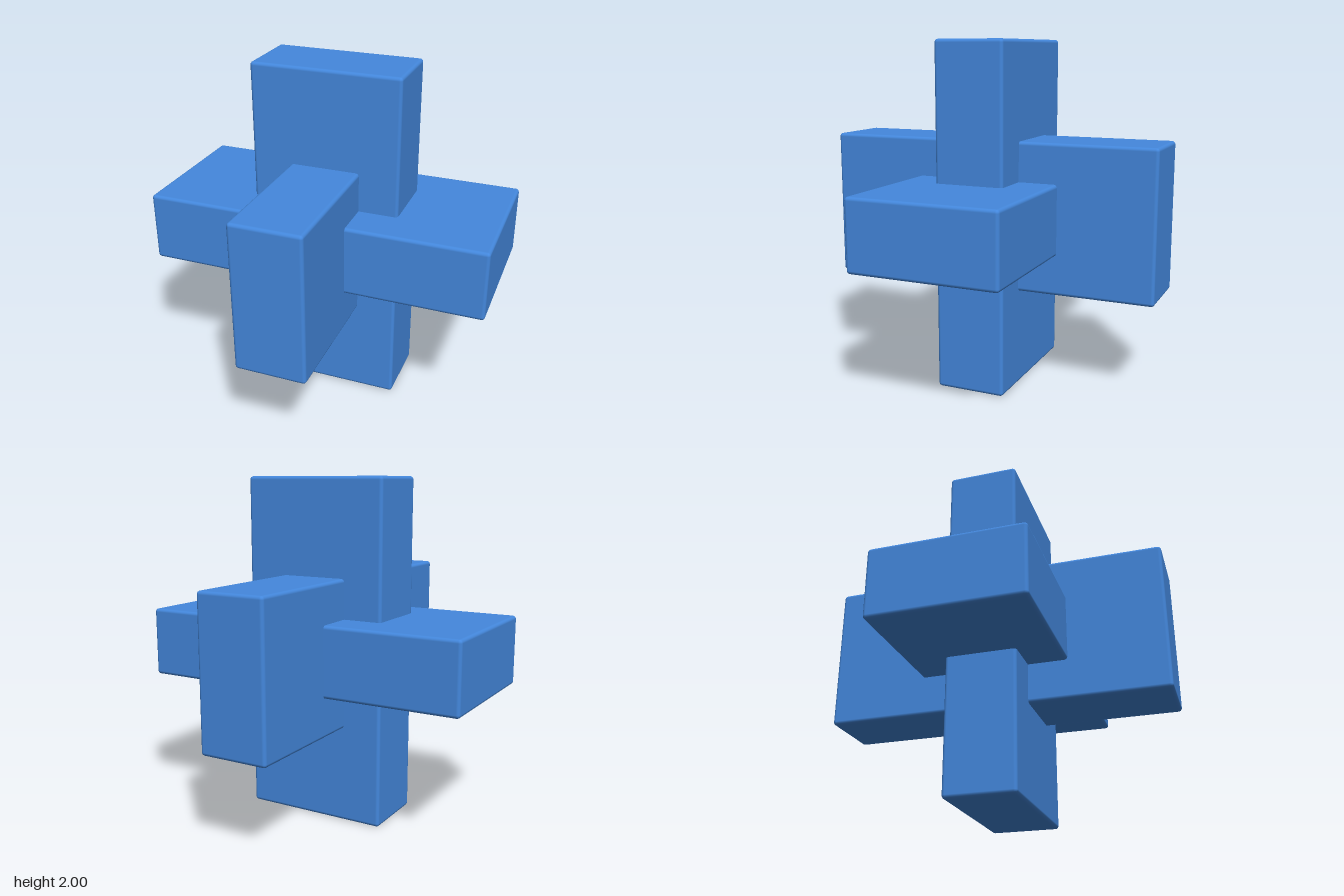
import * as THREE from 'three';
import { RoundedBoxGeometry } from 'three/addons/geometries/RoundedBoxGeometry.js';

// Three identical bars, each crossing the other two at right angles
const LENGTH = 2, WIDTH = 0.87, THICKNESS = 0.41, BEVEL = 0.02;

export function createModel() {
  const group = new THREE.Group();
  group.name = 'interlockingBars';
  const material = new THREE.MeshStandardMaterial({ color: 0x4488dd });

  const bars = [
    ['uprightBar', WIDTH, LENGTH, THICKNESS],
    ['sidewaysBar', LENGTH, THICKNESS, WIDTH],
    ['frontToBackBar', THICKNESS, WIDTH, LENGTH],
  ];
  for (const [name, w, h, d] of bars) {
    const bar = new THREE.Mesh(new RoundedBoxGeometry(w, h, d, 2, BEVEL), material);
    bar.name = name;
    bar.position.y = LENGTH / 2;
    group.add(bar);
  }
  return group;
}
